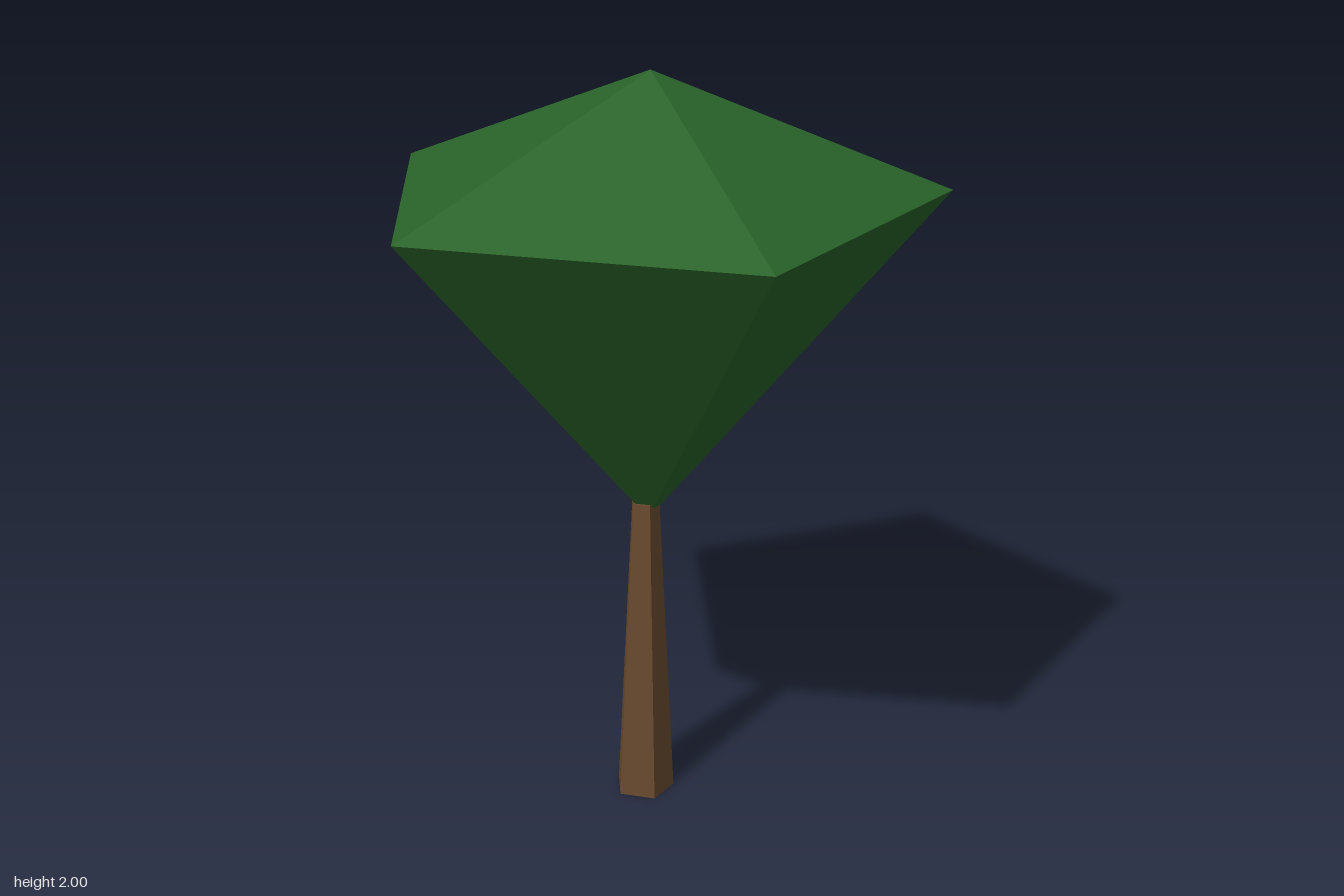
import * as THREE from 'three';

const SIDES = 5;

export function createModel() {
  const tree = new THREE.Group();
  tree.name = 'tree';

  const leafGreen = new THREE.MeshStandardMaterial({ color: 0x286228, flatShading: true });
  leafGreen.name = 'leafGreen';
  const barkBrown = new THREE.MeshStandardMaterial({ color: 0x694a2f, flatShading: true });
  barkBrown.name = 'barkBrown';

  // Five-sided tapered part standing between two heights, one corner facing +z
  function addTaper(name, material, topRadius, bottomRadius, y0, y1, z, open) {
    const geometry = new THREE.CylinderGeometry(topRadius, bottomRadius, y1 - y0, SIDES, 1, open);
    const mesh = new THREE.Mesh(geometry, material);
    mesh.name = name;
    mesh.position.set(0, (y0 + y1) / 2, z);
    tree.add(mesh);
  }

  // Trunk, narrowing into the crown
  addTaper('trunk', barkBrown, 0.039, 0.083, 0, 0.86, -0.06, false);

  // Crown: a shallow cone on top of a deep inverted one
  addTaper('crownTop', leafGreen, 0, 0.763, 1.69, 2, -0.073, true);
  addTaper('crownUnderside', leafGreen, 0.763, 0, 0.807, 1.69, -0.073, true);

  return tree;
}
